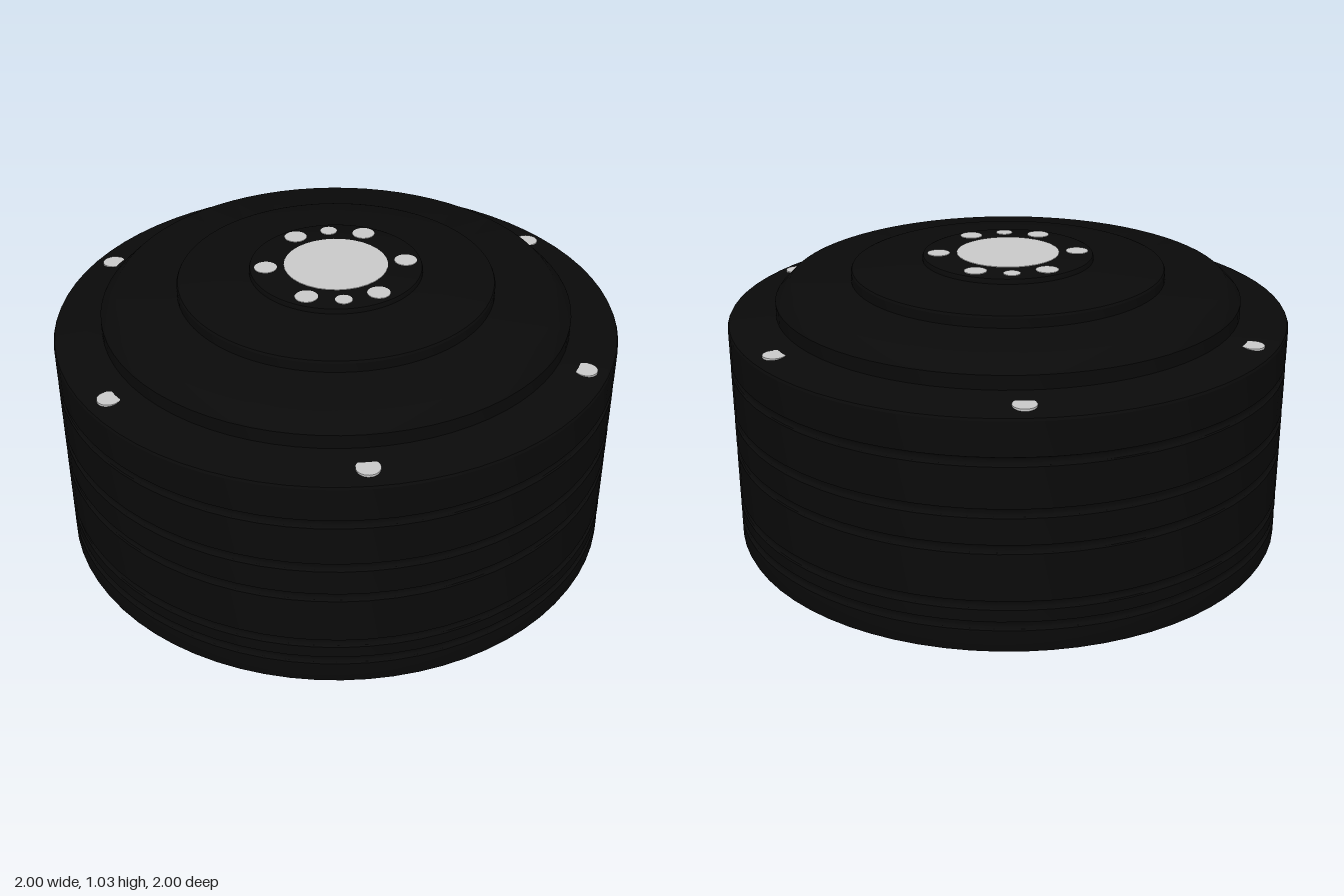
import * as THREE from 'three';
import { toCreasedNormals } from 'three/addons/utils/BufferGeometryUtils.js';

export function createModel() {
  const model = new THREE.Group();
  const black = new THREE.MeshStandardMaterial({ color: 0x0a0a0a });
  const grey = new THREE.MeshStandardMaterial({ color: 0xcccccc });

  // Turned part from [radius, height] pairs, listed bottom to top
  function turned(name, pairs) {
    const points = pairs.map(([r, y]) => new THREE.Vector2(r, y));
    const geometry = toCreasedNormals(new THREE.LatheGeometry(points, 72), 0.45);
    const mesh = new THREE.Mesh(geometry, black);
    mesh.name = name;
    model.add(mesh);
  }

  // Drum with rounded grooves around its wall
  const wall = [[0, 0], [0.985, 0], [0.995, 0.004], [1, 0.015]];
  for (const y of [0.1, 0.175, 0.375, 0.5, 0.675]) {
    for (let i = 0; i <= 6; i++) {
      const a = (i / 6) * Math.PI;
      wall.push([1 - 0.012 * Math.sin(a), y - 0.016 * Math.cos(a)]);
    }
  }
  wall.push([1, 0.81], [0.996, 0.818], [0.985, 0.822], [0.82, 0.842], [0, 0.842]);
  turned('drum', wall);

  // Stepped cover rising to the hub
  turned('shoulder', [[0.83, 0.83], [0.83, 0.89], [0.825, 0.897], [0.78, 0.942], [0.772, 0.945], [0, 0.945]]);
  turned('cover', [[0.56, 0.94], [0.56, 0.978], [0.556, 0.986], [0.545, 0.99], [0.3, 1.01], [0, 1.01]]);
  turned('hub', [[0.305, 1.0], [0.305, 1.02], [0.302, 1.027], [0.294, 1.03], [0, 1.03]]);

  // Flush round inserts
  function insert(name, radius, bottom, top, distance, angle) {
    const mesh = new THREE.Mesh(new THREE.CylinderGeometry(radius, radius, top - bottom, 32), grey);
    mesh.name = name;
    mesh.position.set(Math.cos(angle) * distance, (top + bottom) / 2, Math.sin(angle) * distance);
    model.add(mesh);
  }
  insert('hubCentre', 0.183, 1.0, 1.032, 0, 0);
  for (let i = 0; i < 6; i++) {
    insert('hubBolt', 0.04, 1.0, 1.032, 0.247, Math.PI / 6 + (i * Math.PI) / 3);
    insert('rimBolt', 0.04, -0.001, 0.833, 0.92, (i * Math.PI) / 3);
  }
  for (const side of [0, Math.PI]) insert('hubPin', 0.03, 1.0, 1.032, 0.247, side - Math.PI / 3);

  return model;
}
